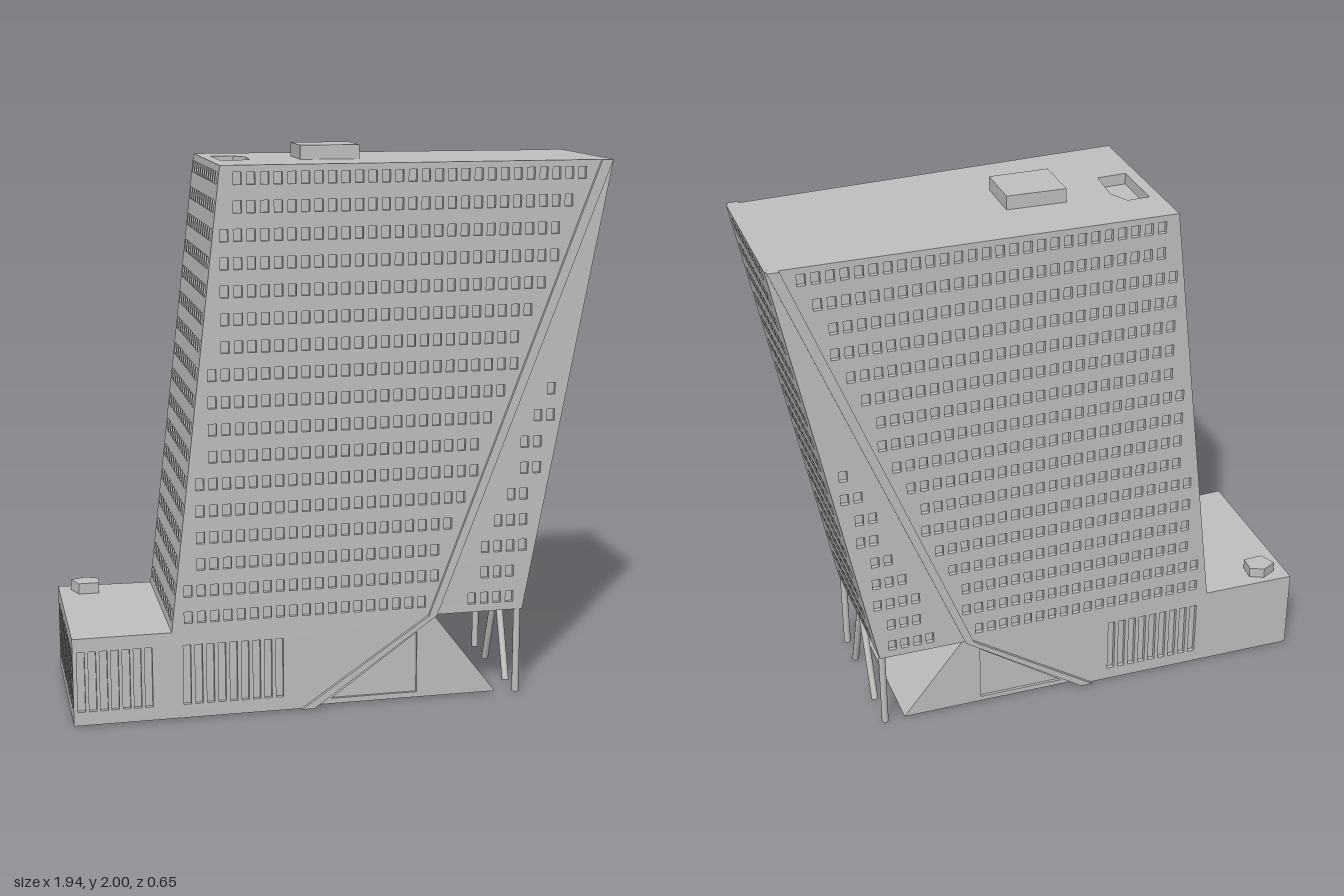
import * as THREE from 'three';

const D = 0.015;                                    // depth of the window recesses
const PITCH = 0.0472;                               // window column spacing
const FRONT = 0.31;
const back = x => -0.325 + (x + 0.97) * 0.0515;     // rear wall runs slightly askew
const mix = (a, b, y) => a + (b - a) * (y - 0.32) / 1.63;
const leftEdge = y => mix(-0.62, -0.43, y);
const rightEdge = y => mix(0.67, 0.97, y);
const bandLeft = y => mix(0.315, 0.925, y);
const bandRight = y => mix(0.345, 0.965, y);
const rows = Array.from({ length: 17 }, (_, i) => 0.371 + i * 0.0959);

const poly = pts => new THREE.Shape(pts.map(p => new THREE.Vector2(p[0], p[1])));
const rect = (x, y, w, h) => new THREE.Path([[-1, -1], [-1, 1], [1, 1], [1, -1]]
  .map(([a, b]) => new THREE.Vector2(x + a * w / 2, y + b * h / 2)));
const windowHole = (x, y) => rect(x, y, 0.029, 0.042);

// Extrude a shape by one unit, then place each vertex by a rule
function extrude(shape, rule) {
  const g = new THREE.ExtrudeGeometry(shape, { depth: 1, bevelEnabled: false });
  const p = g.attributes.position;
  for (let i = 0; i < p.count; i++) p.setXYZ(i, ...rule(p.getX(i), p.getY(i), p.getZ(i)));
  g.computeVertexNormals();
  return g;
}
// Slab standing between a rear and a front surface
const slab = (shape, z0, z1) => extrude(shape, (x, y, t) => [x, y, z0(x, y) + (z1(x, y) - z0(x, y)) * t]);
// Slab lying flat, outline given as x, z
const flat = (pts, y0, y1, hole) => {
  const s = poly(pts.map(([x, z]) => [x, -z]));
  if (hole) s.holes.push(new THREE.Path(hole.map(([x, z]) => new THREE.Vector2(x, -z))));
  return extrude(s, (x, y, t) => [x, y0 + (y1 - y0) * t, -y]);
};

// Row of tall louvre slots
function louvres(from, to, n) {
  const w = 0.027, step = (to - from - w) / (n - 1);
  return Array.from({ length: n }, (_, i) => rect(from + w / 2 + i * step, 0.16, w, 0.22));
}

// Silhouette of podium and leaning tower, inset at the ends
const outline = (inset, top) => poly([
  [-0.97 + inset, 0], [-0.11, 0], [0.335, 0.32], [0.67 - inset, 0.32], [rightEdge(top) - inset, top],
  [leftEdge(top) + inset, top], [-0.62 + inset, 0.32], [-0.97 + inset, 0.32]]);

// Long wall with windows on either side of the diagonal band
function longWall(isFront) {
  const s = outline(0, 1.95);
  for (const y of rows) {
    for (let k = 0; k < 34; k++) {
      const x = -0.56 + k * PITCH;
      const main = x > leftEdge(y) + 0.038 && x < bandLeft(y) - 0.033;
      const corner = x > bandRight(y) + 0.08 && x < rightEdge(y) - 0.04;
      if (main || corner) s.holes.push(windowHole(x, y));
    }
  }
  s.holes.push(...louvres(-0.58, -0.22, 9));
  if (isFront) s.holes.push(...louvres(-0.955, -0.69, 7));
  return s;
}

// End wall, drawn with u = -z
function endWall(edge, y0, y1, sign, holes) {
  const u0 = -(FRONT - D);
  const s = poly([[u0, y0], [-back(edge(y0)) - D, y0], [-back(edge(y1)) - D, y1], [u0, y1]]);
  s.holes.push(...holes);
  return extrude(s, (u, y, t) => [edge(y) + (sign < 0 ? t * D : (t - 1) * D), y, -u]);
}
const grid = (u0, n) => rows.flatMap(y => Array.from({ length: n }, (_, i) => windowHole(u0 + i * PITCH, y)));

export function createModel() {
  const group = new THREE.Group();
  const concrete = new THREE.MeshStandardMaterial({ color: 0xc0c0c0 });
  concrete.name = 'concrete grey';
  const add = (name, geometry) => {
    const m = new THREE.Mesh(geometry, concrete);
    m.name = name;
    group.add(m);
    return m;
  };

  // Core behind the window openings
  const roofBase = 1.91;
  add('core', slab(outline(D, roofBase), x => back(x) + D, () => FRONT - D));

  // Long walls
  add('frontWall', slab(longWall(true), () => FRONT - D, () => FRONT));
  add('backWall', slab(longWall(false), back, x => back(x) + D));

  // End walls
  add('leftTowerWall', endWall(leftEdge, 0.32, 1.95, -1, grid(-0.26, 12)));
  add('rightTowerWall', endWall(rightEdge, 0.32, 1.95, 1, grid(-0.24, 9)));
  add('podiumEndWall', endWall(() => -0.97, 0, 0.32, -1, louvres(-0.275, 0.285, 14)));

  // Roof with a sunken well and a plant room
  const xl = leftEdge(1.95) + D, xr = rightEdge(1.95) - D;
  add('roof', flat([[xl, FRONT - D], [xr, FRONT - D], [xr, back(xr) + D], [xl, back(xl) + D]], roofBase, 1.95,
    [[-0.39, -0.14], [-0.31, -0.14], [-0.275, -0.07], [-0.285, 0.065], [-0.39, 0.065]]));
  add('plantRoom', flat([[-0.11, -0.08], [0.1, -0.065], [0.1, 0.105], [-0.11, 0.095]], 1.95, 2));
  add('podiumVent', flat([[-0.925, -0.27], [-0.87, -0.295], [-0.82, -0.27], [-0.825, -0.21], [-0.9, -0.21]], 0.32, 0.36));

  // Sloping entrance block set back under the tower
  const R = 0.025, E = 0.01;
  const wedge = () => poly([[-0.11, 0], [0.58, 0], [0.335, 0.32]]);
  const entrance = wedge();
  entrance.holes.push(new THREE.Path([[-0.04, 0.02], [0.28, 0.25], [0.28, 0.02]].map(p => new THREE.Vector2(...p))));
  add('entranceBlock', slab(wedge(), x => back(x) + R + E, () => FRONT - R - E));
  add('entranceFront', slab(entrance, () => FRONT - R - E, () => FRONT - R));
  add('entranceBack', slab(entrance, x => back(x) + R, x => back(x) + R + E));

  // Splayed reveal between the wall and the entrance
  const reveal = poly([[-0.11, 0], [-0.082, 0], [0.335, 0.3], [0.335, 0.32]]);
  const fall = (x, y) => R * Math.min(1, Math.max(0, ((x + 0.11) * 0.719 - y) / 0.02));
  add('frontReveal', slab(reveal, () => FRONT - R - 0.002, (x, y) => FRONT - fall(x, y)));
  add('backReveal', slab(reveal, (x, y) => back(x) + fall(x, y), x => back(x) + R + 0.002));

  // Bent diagonal band on both long walls
  const band = poly([[-0.155, 0], [-0.11, 0], [0.345, 0.32], [0.965, 1.95], [0.925, 1.95], [0.315, 0.32]]);
  add('frontBand', slab(band, () => FRONT, () => FRONT + 0.012));
  add('backBand', slab(band, x => back(x) - 0.012, back));

  // Corner posts and V-shaped struts
  function strut(name, z0, z1) {
    const a = new THREE.Vector3(0.655, 0, z0), dir = new THREE.Vector3(0, 0.322, z1 - z0);
    const m = add(name, new THREE.CylinderGeometry(0.013, 0.013, dir.length(), 12));
    m.position.copy(a).addScaledVector(dir, 0.5);
    m.quaternion.setFromUnitVectors(new THREE.Vector3(0, 1, 0), dir.normalize());
  }
  strut('frontPost', 0.296, 0.296);
  strut('backPost', -0.215, -0.215);
  strut('frontStrut', 0.18, 0.064);
  strut('backStrut', -0.08, 0.04);

  return group;
}
